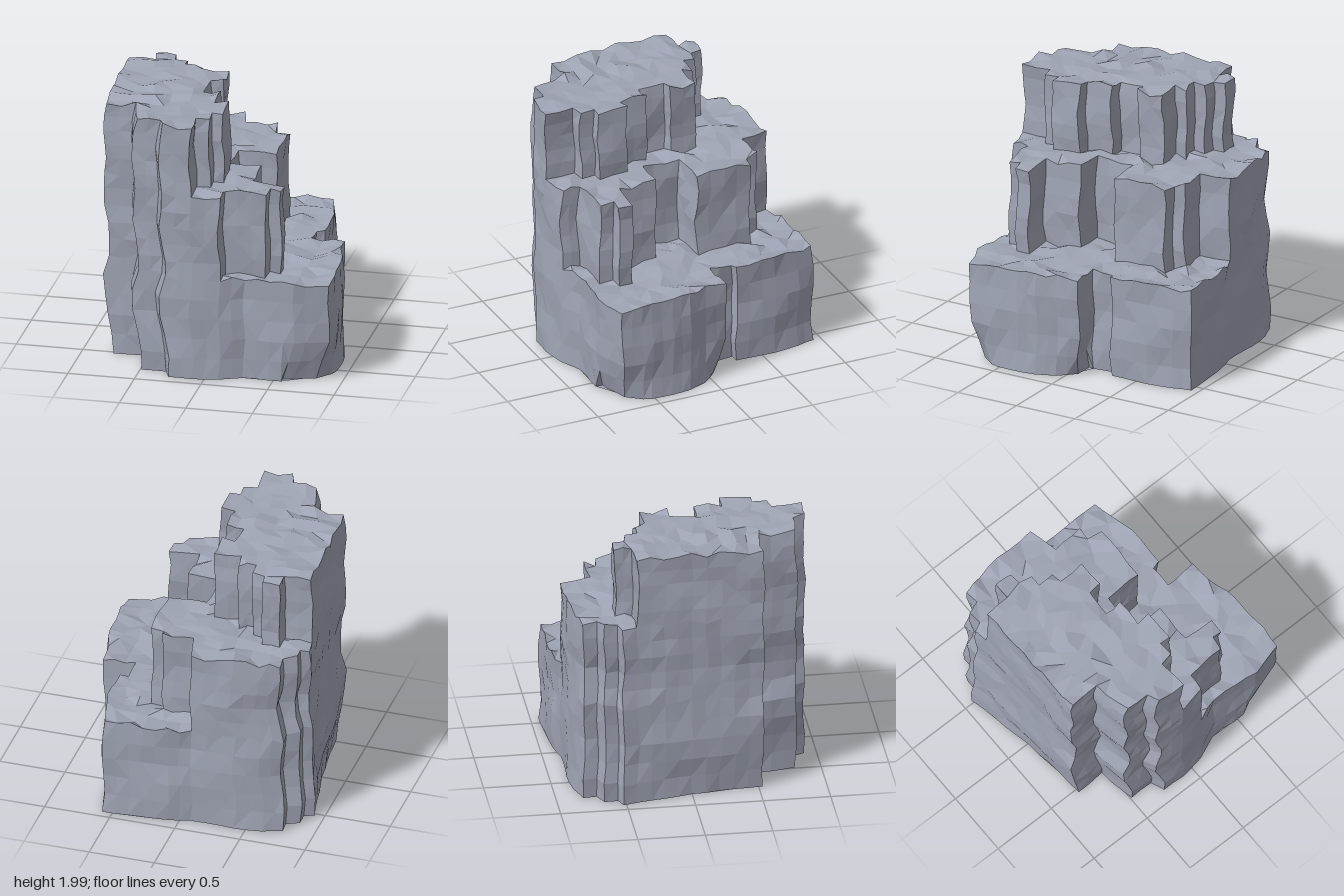
import * as THREE from 'three';

// Stepped corners as [x, z], clockwise seen from above
// Front and left faces, running the full height
const fullHeight = [[-0.1, 0.91], [-0.32, 0.9], [-0.36, 0.81], [-0.54, 0.81], [-0.6, 0.53], [-0.82, 0.53],
  [-0.85, 0], [-0.88, -0.41]];
// Back left corner of the two lower tiers, and the front corner they share
const backLeft = [[-0.9, -0.52], [-0.83, -0.55], [-0.84, -0.65], [-0.74, -0.69], [-0.75, -0.79],
  [-0.6, -0.84], [-0.4, -0.87], [-0.08, -0.87]];
const frontCorner = [[0.11, 0.88]];
// Stepped right edge of each tier, from back to front
const lowerSteps = [[0.08, -0.91], [0.57, -0.93], [0.61, -0.8], [0.64, -0.6], [0.64, -0.29], [0.57, -0.28],
  [0.58, -0.1], [0.82, -0.12], [0.84, 0.05], [0.89, 0.2], [0.91, 0.35], [0.92, 0.6], [0.91, 0.76],
  [0.66, 0.83], [0.28, 0.81]];
const middleSteps = [[-0.04, -0.64], [0.2, -0.65], [0.2, -0.56], [0.31, -0.55], [0.31, -0.12],
  [0.03, -0.1], [0.04, 0.2], [0.28, 0.2], [0.28, 0.5], [0.51, 0.49], [0.51, 0.6], [0.43, 0.61],
  [0.42, 0.71], [0.12, 0.75]];
const upperSteps = [[-0.68, -0.42], [-0.68, -0.55], [-0.54, -0.55], [-0.54, -0.46],
  [-0.44, -0.45], [-0.44, -0.36], [-0.3, -0.37], [-0.3, -0.28], [-0.09, -0.3], [-0.08, -0.09],
  [-0.17, -0.08], [-0.17, 0.12], [-0.04, 0.12], [-0.04, 0.33], [0.07, 0.33], [0.07, 0.56],
  [-0.01, 0.56], [-0.01, 0.67], [-0.11, 0.68]];

const lowerOutline = [...fullHeight, ...backLeft, ...lowerSteps, ...frontCorner];
const middleOutline = [...fullHeight, ...backLeft, ...middleSteps, ...frontCorner];
const upperOutline = [...fullHeight, ...upperSteps];
// Ledges: the strips left open between one tier and the next
const lowerLedge = [backLeft.at(-1), ...lowerSteps, ...frontCorner, ...middleSteps.toReversed()];
const middleLedge = [fullHeight.at(-1), ...backLeft, ...middleSteps, ...frontCorner, fullHeight[0],
  ...upperSteps.toReversed()];

// Heights of floor, two ledges and summit
const LEVELS = [0, 0.775, 1.425, 1.965];

// Sideways wander of the left side at every 0.2 of height, near the front and near the back
const frontWander = [0.06, 0.05, -0.01, -0.02, 0.03, 0.015, -0.015, -0.01, -0.01, -0.02, 0.01];
const backWander = [-0.015, -0.03, -0.01, 0, -0.02, 0.03, 0.01, 0, 0.02, 0.02, 0];

const { lerp, clamp } = THREE.MathUtils;

function wanderAt(table, y) {
  const i = Math.floor(y / 0.2);
  return lerp(table[i], table[i + 1], y / 0.2 - i);
}

// Repeatable value from -1 to 1 for a spot in space
function hash(x, y, z) {
  const key = (v) => Math.round(v * 200 + 0.137);
  const s = Math.sin(key(x) * 12.9898 + key(z) * 78.233 + key(y) * 37.719) * 43758.5453;
  return 2 * (s - Math.floor(s)) - 1;
}

// Weathered position of a plan point p at height y; ledges and summit are also uneven
function weather(p, y) {
  const x = p.x, z = p.y;
  // Left side wander, fading out towards the middle
  const wander = lerp(wanderAt(backWander, y), wanderAt(frontWander, y), clamp(z + 0.5, 0, 1)) * clamp(-3 * x, 0, 1);
  // Two undercut corners on the right, near the ground
  const undercut = x > 0.6 ? Math.max(0, 1 - y / 0.35) : 0;
  const cutFront = undercut * Math.exp(-(((z - 0.78) / 0.16) ** 2));
  const cutBack = undercut * Math.exp(-(((z + 0.12) / 0.1) ** 2));
  const dx = 0.009 * Math.sin(11 * y + 5 * z + 0.6) + 0.006 * hash(x, y, z);
  const dz = 0.009 * Math.sin(10 * y + 6 * x + 2.2) + 0.006 * hash(z, y, x);
  const bump = y > 0 && LEVELS.includes(y) ? 0.025 * hash(x, 0, z) : 0;
  return [x + wander + dx - 0.1 * cutFront - 0.09 * cutBack, y + bump, z + dz - 0.07 * cutFront + 0.05 * cutBack];
}

// Splits long edges of an outline into short pieces
function subdivide(outline) {
  return outline.flatMap(([x, z], i) => {
    const [nx, nz] = outline[(i + 1) % outline.length];
    const n = Math.max(1, Math.ceil(Math.hypot(nx - x, nz - z) / 0.12 - 1e-6));
    return Array.from({ length: n }, (_, k) => new THREE.Vector2(x + (nx - x) * k / n, z + (nz - z) * k / n));
  });
}

function isInside(p, ring) {
  let inside = false;
  ring.forEach((a, i) => {
    const b = ring[(i + 1) % ring.length];
    if ((a.y > p.y) !== (b.y > p.y) && p.x < a.x + (b.x - a.x) * (p.y - a.y) / (b.y - a.y)) inside = !inside;
  });
  return inside;
}

// Triangle with its circumcircle, wound to face up
function makeTriangle(a, b, c) {
  const bx = b.x - a.x, by = b.y - a.y, cx = c.x - a.x, cy = c.y - a.y;
  const d = 2 * (bx * cy - by * cx);
  const ux = (cy * (bx * bx + by * by) - by * (cx * cx + cy * cy)) / d;
  const uy = (bx * (cx * cx + cy * cy) - cx * (bx * bx + by * by)) / d;
  return { corners: d < 0 ? [a, b, c] : [a, c, b], centre: new THREE.Vector2(a.x + ux, a.y + uy), r2: ux * ux + uy * uy };
}

// Even triangulation of points (Delaunay), kept inside the ring
function triangulate(points, ring) {
  let triangles = [makeTriangle(new THREE.Vector2(-31, -20), new THREE.Vector2(30, -21), new THREE.Vector2(1, 33))];
  for (const p of points) {
    const edges = [];
    triangles = triangles.filter((t) => {
      if (t.centre.distanceToSquared(p) >= t.r2) return true;
      t.corners.forEach((a, i) => edges.push([a, t.corners[(i + 1) % 3]]));
      return false;
    });
    for (const [a, b] of edges) {
      if (!edges.some(([c, d]) => c === b && d === a)) triangles.push(makeTriangle(a, b, p));
    }
  }
  return triangles.map((t) => t.corners)
    .filter(([a, b, c]) => isInside(new THREE.Vector2((a.x + b.x + c.x) / 3, (a.y + b.y + c.y) / 3), ring));
}

function makeMesh(name, positions, material) {
  const geometry = new THREE.BufferGeometry();
  geometry.setAttribute('position', new THREE.Float32BufferAttribute(positions, 3));
  geometry.computeVertexNormals();
  const mesh = new THREE.Mesh(geometry, material);
  mesh.name = name;
  return mesh;
}

// Craggy wall around a tier, between two levels
function makeWall(name, outline, level, material) {
  const ring = subdivide(outline), positions = [], rows = 5;
  const bottom = LEVELS[level], top = LEVELS[level + 1];
  const at = (p, row) => weather(p, row === rows ? top : bottom + (top - bottom) * row / rows);
  ring.forEach((a, i) => {
    const b = ring[(i + 1) % ring.length];
    for (let row = 0; row < rows; row++) {
      const a0 = at(a, row), b0 = at(b, row), a1 = at(a, row + 1), b1 = at(b, row + 1);
      if ((i + row) % 2) positions.push(...b0, ...a0, ...a1, ...b0, ...a1, ...b1);
      else positions.push(...b0, ...a0, ...b1, ...a0, ...a1, ...b1);
    }
  });
  return makeMesh(name, positions, material);
}

// Uneven upward surface filling an outline
function makeLedge(name, outline, y, material) {
  const ring = subdivide(outline);
  // Nudge by a hair so that no four points share a circle
  const points = ring.map((p) => new THREE.Vector2(p.x + 1e-5 * hash(p.x, 1, p.y), p.y + 1e-5 * hash(p.x, 2, p.y)));
  for (let x = -0.9; x < 0.95; x += 0.13) {
    for (let z = -0.95; z < 0.95; z += 0.1) {
      const p = new THREE.Vector2(x + 0.03 * hash(x, 3, z), z + 0.02 * hash(x, 4, z));
      if (isInside(p, ring) && ring.every((q) => q.distanceTo(p) > 0.07)) points.push(p);
    }
  }
  const positions = triangulate(points, ring).flatMap((corners) => corners.flatMap((p) => weather(p, y)));
  return makeMesh(name, positions, material);
}

// Flat underside
function makeFloor(material) {
  const ring = subdivide(lowerOutline);
  const positions = THREE.ShapeUtils.triangulateShape(ring, []).flatMap((face) => {
    const [a, b, c] = face.map((i) => ring[i]);
    const facesUp = (b.y - a.y) * (c.x - a.x) > (b.x - a.x) * (c.y - a.y);
    return (facesUp ? [a, c, b] : [a, b, c]).flatMap((p) => weather(p, 0));
  });
  return makeMesh('floor', positions, material);
}

export function createModel() {
  const rock = new THREE.MeshStandardMaterial({ color: 0x9fa4b4, flatShading: true });
  const model = new THREE.Group();
  model.name = 'steppedCliff';
  model.add(
    makeFloor(rock),
    makeWall('lowerWall', lowerOutline, 0, rock),
    makeLedge('lowerLedge', lowerLedge, LEVELS[1], rock),
    makeWall('middleWall', middleOutline, 1, rock),
    makeLedge('middleLedge', middleLedge, LEVELS[2], rock),
    makeWall('upperWall', upperOutline, 2, rock),
    makeLedge('summit', upperOutline, LEVELS[3], rock),
  );
  return model;
}
